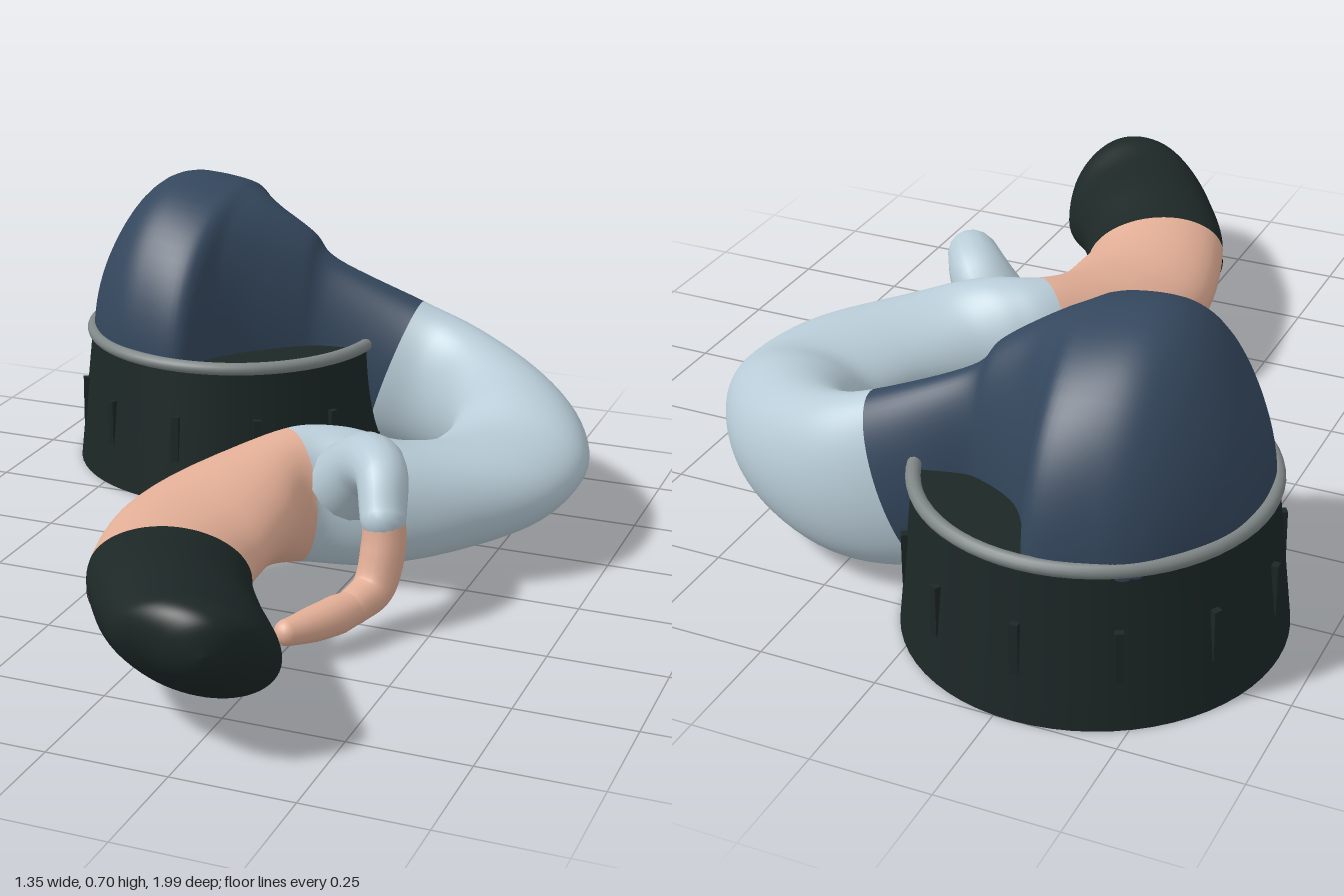
import * as THREE from 'three';

const mat = (name, color, side = THREE.FrontSide) => {
  const m = new THREE.MeshStandardMaterial({ color, side });
  m.name = name;
  return m;
};
const DARK = mat('dark green black', 0x1c2726);
const NAVY = mat('navy', 0x34475d);
const PALE = mat('pale blue', 0xb8ccd7, THREE.DoubleSide);
const SKIN = mat('skin', 0xe2ae96);
const GREY = mat('rim grey', 0x7f8686);
const INK = mat('ink', 0x0a0d0c);

// Bent-over hips inside the tub: x, back z, front z, bottom y, top y
const HIPS = [
  [-0.637, -0.615, -0.615, 0.305, 0.305],
  [-0.62, -0.735, -0.495, 0.15, 0.45],
  [-0.57, -0.825, -0.405, 0.06, 0.565],
  [-0.50, -0.90, -0.33, -0.04, 0.66],
  [-0.42, -0.94, -0.29, -0.08, 0.70],
  [-0.30, -0.955, -0.275, -0.07, 0.688],
  [-0.25, -0.86, -0.37, -0.05, 0.672],
  [-0.19, -0.775, -0.45, -0.02, 0.64],
  [-0.10, -0.725, -0.53, 0.05, 0.58],
  [-0.04, -0.72, -0.56, 0.08, 0.515],
];
// Torso and head: outer x z, inner x z, bottom y, top y, roll, lean
const TORSO = [
  [0.17, -0.76, 0.17, -0.57, 0.06, 0.425, 0, 0.35],
  [0.33, -0.745, 0.25, -0.54, 0.04, 0.385, 0, 0.2],
  [0.50, -0.65, 0.31, -0.46, 0.045, 0.35],
  [0.63, -0.48, 0.335, -0.39, 0.06, 0.325],
  [0.675, -0.30, 0.33, -0.32, 0.10, 0.285],
  [0.64, -0.13, 0.29, -0.20, 0.075, 0.285],
  [0.50, 0.01, 0.20, -0.10, 0.045, 0.305],
  [0.35, 0.09, 0.12, -0.06, 0.03, 0.34],
  [0.21, 0.14, 0.04, 0.00, 0.04, 0.34],
  [0.20, 0.25, -0.10, 0.18, 0.07, 0.31],
  [0.20, 0.38, -0.15, 0.36, 0.09, 0.29],
  [0.21, 0.50, -0.09, 0.63, 0.085, 0.295, -0.12],
  [0.30, 0.65, 0.00, 0.80, 0.07, 0.31, -0.32],
  [0.385, 0.75, 0.09, 0.925, 0.085, 0.30, -0.45, 0.1],
  [0.415, 0.86, 0.16, 0.975, 0.115, 0.315, -0.5, 0.25],
  [0.375, 0.935, 0.235, 0.998, 0.155, 0.30, -0.45, 0.3],
  [0.31, 0.98, 0.31, 0.98, 0.24, 0.24],
];
const ROWS = [
  ...HIPS.map(([x, za, zb, y0, y1]) => [x, za, x, zb, y0, y1, 0, 0]),
  ...TORSO.map((r) => [...r, 0, 0].slice(0, 8)),
];
const FIRST = HIPS.length, LAST = ROWS.length - 1, HAIR = FIRST + 11;

// Smoothly interpolated cross-section at row position t
function section(t) {
  const i = Math.min(Math.floor(t), LAST - 1), f = t - i;
  const row = (k) => ROWS[Math.max(0, Math.min(LAST, k))];
  return row(i).map((p1, c) => {
    const p0 = row(i - 1)[c], p2 = row(i + 1)[c], p3 = row(i + 2)[c];
    const m1 = (p2 - p0) / 2, m2 = (p3 - p1) / 2;
    return p1 + f * (m1 + f * (3 * (p2 - p1) - 2 * m1 - m2 + f * (2 * (p1 - p2) + m1 + m2)));
  });
}

function bodyPoint(t, phi) {
  const [ax, az, bx, bz, y0, y1, roll, lean] = section(t);
  const w = Math.hypot(ax - bx, az - bz) / 2, h = (y1 - y0) / 2;
  const ex = (ax - bx) / (2 * w || 1), ez = (az - bz) / (2 * w || 1);
  const u = w * Math.cos(phi), v = h * Math.sin(phi);
  const a = u * Math.cos(roll) - v * Math.sin(roll);
  const b = u * Math.sin(roll) + v * Math.cos(roll);
  const s = (b - h) * lean;
  return new THREE.Vector3(
    (ax + bx) / 2 + ex * a - ez * s,
    Math.max(0.02, (y0 + y1) / 2 + b),
    (az + bz) / 2 + ez * a + ex * s
  );
}

// Moves the hairline forward on the face side, fading out along the head
function hairline(t, phi) {
  const fade = t < HAIR ? (t - FIRST - 8) / 3 : (LAST - t) / (LAST - HAIR);
  const bump = Math.sin((phi - Math.PI) / 0.62);
  const onFace = phi > Math.PI && phi < Math.PI * 1.62;
  return t + (onFace ? 1.4 * Math.max(0, fade) * Math.max(0, bump) : 0);
}

// One continuous skin, shared by the coloured parts so shading stays smooth
function addBody(group) {
  const STEP = 8, N = 64, pos = [];
  for (let i = 0; i <= LAST * STEP; i++)
    for (let j = 0; j < N; j++) {
      const phi = (j / N) * Math.PI * 2;
      pos.push(...bodyPoint(hairline(i / STEP, phi), phi).toArray());
    }
  const facesBetween = (from, to) => {
    const idx = [];
    for (let i = from * STEP; i < to * STEP; i++)
      for (let j = 0; j < N; j++) {
        const k = (j + 1) % N, a = i * N + j, b = i * N + k;
        idx.push(a, b, a + N, b, b + N, a + N);
      }
    return idx;
  };
  const whole = new THREE.BufferGeometry();
  whole.setAttribute('position', new THREE.Float32BufferAttribute(pos, 3));
  whole.setIndex(facesBetween(0, LAST));
  whole.computeVertexNormals();
  const parts = [
    ['trousers', 0, FIRST, NAVY],
    ['shirt', FIRST, FIRST + 8, PALE],
    ['head', FIRST + 8, HAIR, SKIN],
    ['hair', HAIR, LAST, DARK],
  ];
  for (const [name, from, to, material] of parts) {
    const g = new THREE.BufferGeometry();
    g.setAttribute('position', whole.attributes.position);
    g.setAttribute('normal', whole.attributes.normal);
    g.setIndex(facesBetween(from, to));
    add(group, name, g, material);
  }
}

function add(group, name, geometry, material, x = 0, y = 0, z = 0) {
  const mesh = new THREE.Mesh(geometry, material);
  mesh.name = name;
  mesh.position.set(x, y, z);
  group.add(mesh);
  return mesh;
}

// Limb with a radius that changes along its path, rounded at the end
function limb(group, name, points, radii, material) {
  const curve = new THREE.CatmullRomCurve3(points.map((p) => new THREE.Vector3(...p)));
  const SEG = 24, SIDES = 16;
  const g = new THREE.TubeGeometry(curve, SEG, 1, SIDES);
  const p = g.attributes.position, v = new THREE.Vector3();
  for (let i = 0; i <= SEG; i++) {
    const c = curve.getPointAt(i / SEG), f = (i / SEG) * (radii.length - 1);
    const k = Math.min(Math.floor(f), radii.length - 2);
    const r = THREE.MathUtils.lerp(radii[k], radii[k + 1], f - k);
    for (let j = 0; j <= SIDES; j++) {
      const n = i * (SIDES + 1) + j;
      v.fromBufferAttribute(p, n).sub(c).multiplyScalar(r).add(c);
      p.setXYZ(n, v.x, v.y, v.z);
    }
  }
  add(group, name, g, material);
  const ball = new THREE.SphereGeometry(radii[radii.length - 1], 16, 12);
  add(group, name + 'End', ball, material, ...points[points.length - 1]);
}

// Ink line drawn over the head, as pairs of row position and angle in half turns
function inkLine(group, name, pairs, closed = false) {
  const pts = pairs.map(([t, a]) => bodyPoint(FIRST + t, a * Math.PI));
  const curve = new THREE.CatmullRomCurve3(pts, closed);
  add(group, name, new THREE.TubeGeometry(curve, 48, 0.007, 6, closed), INK);
}
const loop = (t, a, rt, ra) =>
  Array.from({ length: 12 }, (_, i) => [t + rt * Math.cos((i * Math.PI) / 6), a + ra * Math.sin((i * Math.PI) / 6)]);

export function createModel() {
  const model = new THREE.Group();
  model.name = 'figureInTub';

  // Tub with rim and twelve short ribs
  const tub = new THREE.Group();
  tub.name = 'tub';
  tub.position.set(-0.29, 0, -0.613);
  add(tub, 'tubWall', new THREE.CylinderGeometry(0.355, 0.388, 0.32, 64), DARK, 0, 0.16, 0);
  const rim = add(tub, 'tubRim', new THREE.TorusGeometry(0.352, 0.015, 12, 64), GREY, 0, 0.33, 0);
  rim.rotation.x = Math.PI / 2;
  for (let i = 0; i < 12; i++) {
    const a = (i * Math.PI) / 6;
    const rib = add(tub, 'tubRib', new THREE.BoxGeometry(0.018, 0.11, 0.02), DARK,
      Math.sin(a) * 0.37, 0.155, Math.cos(a) * 0.37);
    rib.rotation.y = a;
  }
  model.add(tub);

  addBody(model);

  // Left arm, propped in front
  limb(model, 'leftSleeve', [[0.25, 0.24, 0.07], [0.31, 0.302, 0.11], [0.365, 0.312, 0.18], [0.39, 0.24, 0.235]],
    [0.09, 0.07, 0.055, 0.048], PALE);
  limb(model, 'leftForearm', [[0.39, 0.25, 0.23], [0.395, 0.18, 0.245], [0.385, 0.10, 0.275], [0.36, 0.075, 0.33]],
    [0.044, 0.047, 0.045, 0.038], SKIN);
  limb(model, 'leftHand', [[0.365, 0.075, 0.32], [0.335, 0.072, 0.385], [0.30, 0.068, 0.44], [0.275, 0.066, 0.475]],
    [0.035, 0.041, 0.037, 0.028], SKIN);

  // Right arm, tucked toward the tub
  limb(model, 'rightSleeve', [[0.21, 0.14, 0.0], [0.155, 0.12, -0.10], [0.12, 0.10, -0.18], [0.09, 0.085, -0.235]],
    [0.08, 0.06, 0.052, 0.046], PALE);
  limb(model, 'rightForearm', [[0.10, 0.088, -0.22], [0.065, 0.075, -0.28], [0.01, 0.066, -0.335], [-0.05, 0.062, -0.355]],
    [0.04, 0.041, 0.037, 0.03], SKIN);

  // Drawn face on the lower side of the head
  inkLine(model, 'eyeOutline', loop(11.05, 1.24, 0.3, 0.13), true);
  inkLine(model, 'pupil', loop(11.05, 1.24, 0.08, 0.04), true);
  inkLine(model, 'mouth', [[10.1, 1.34], [10.4, 1.46], [10.7, 1.5], [11.0, 1.5], [11.3, 1.47], [11.6, 1.45]]);
  inkLine(model, 'secondEye', [[9.0, 1.26], [9.4, 1.32], [9.05, 1.4], [9.4, 1.48], [9.1, 1.58]]);
  inkLine(model, 'nose', [[9.7, 1.34], [9.95, 1.44], [9.85, 1.54], [9.6, 1.5]]);

  return model;
}
